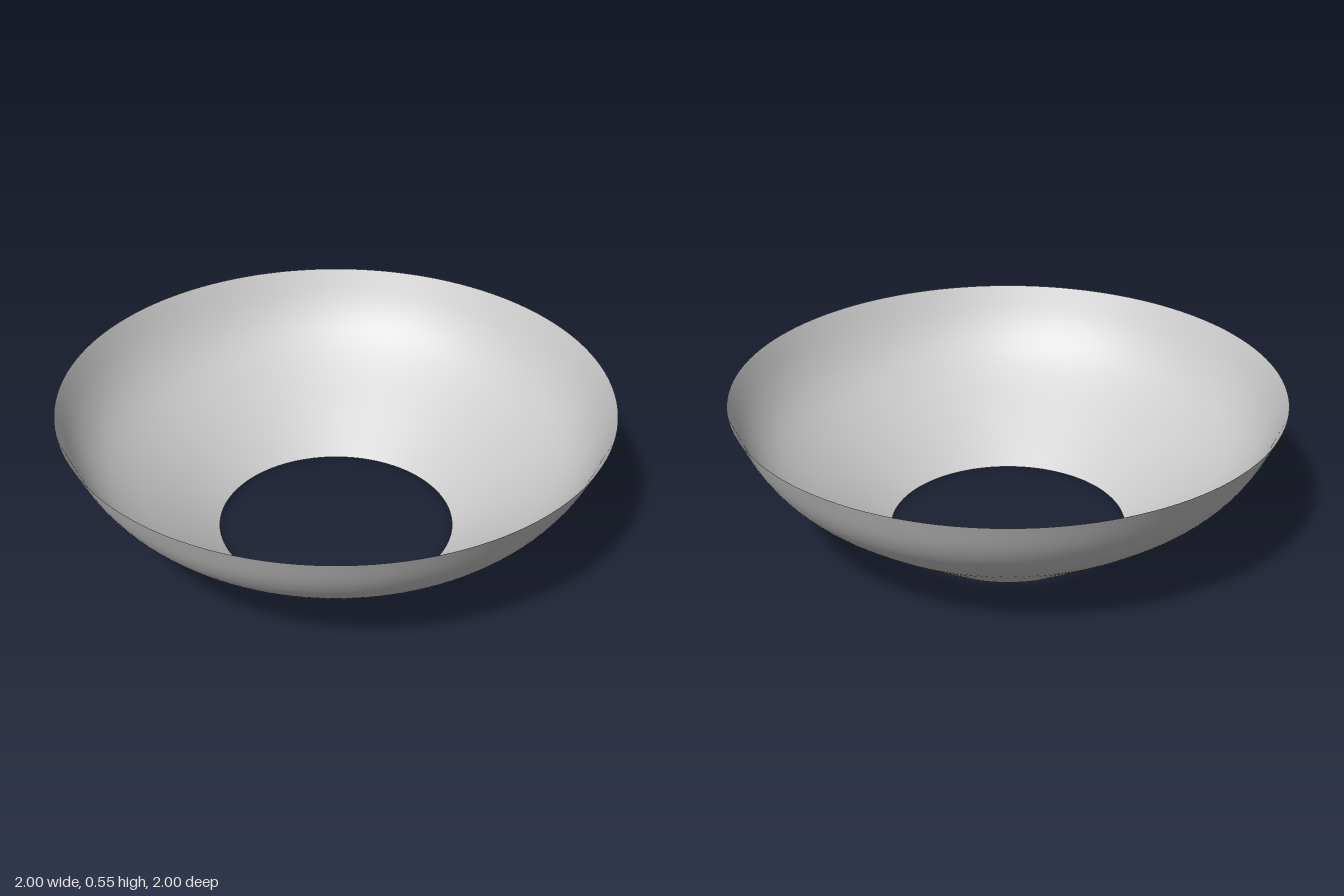
import * as THREE from 'three';

export function createModel() {
  const group = new THREE.Group();
  group.name = 'openBowl';

  // Thin flared wall: nearly straight at the base, curving upright at the rim
  const profile = new THREE.SplineCurve([
    [0.435, 0], [0.6, 0.113], [0.77, 0.233], [0.87, 0.322], [0.94, 0.42], [1, 0.545],
  ].map(([r, y]) => new THREE.Vector2(r, y)));

  const wall = new THREE.Mesh(
    new THREE.LatheGeometry(profile.getPoints(30), 128),
    new THREE.MeshStandardMaterial({ color: 0xcccccc, side: THREE.DoubleSide }),
  );
  wall.name = 'bowlWall';
  group.add(wall);

  return group;
}
